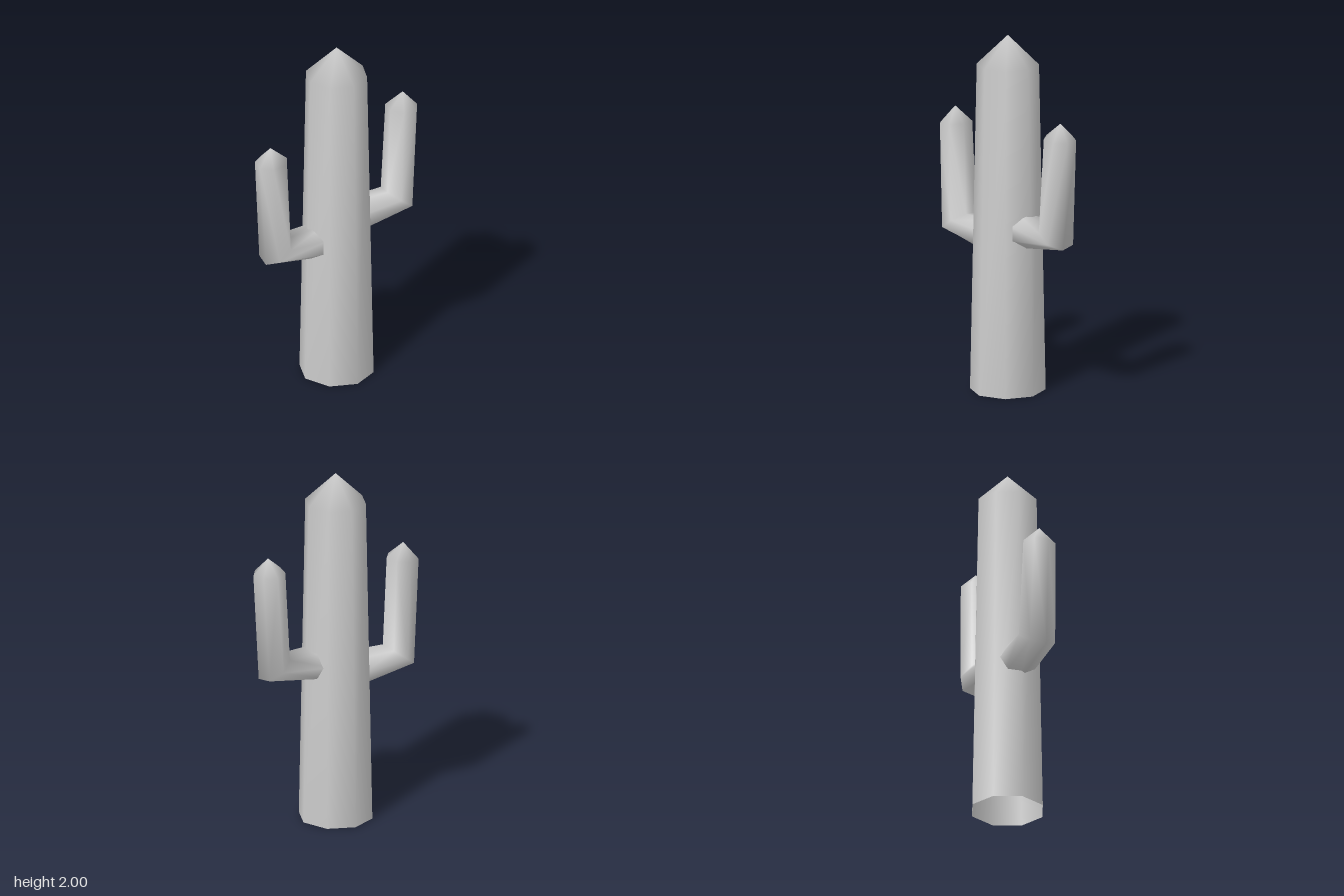
import * as THREE from 'three';

// Smooth skin over rings of n points, closed by a pointed tip.
// Each ring: c = centre [x, y], u = half-width vector [x, y], rz = half-depth.
// side = -1 mirrors the shape in x.
function loft(rings, tip, n, side = 1) {
  const pos = [], index = [];
  const tri = (a, b, c) => (side > 0 ? index.push(a, b, c) : index.push(a, c, b));
  for (const { c, u, rz } of rings) {
    for (let k = 0; k < n; k++) {
      const a = (k / n) * Math.PI * 2;
      const s = Math.sin(a);
      pos.push(side * (c[0] + u[0] * s), c[1] + u[1] * s, -rz * Math.cos(a));
    }
  }
  const last = (rings.length - 1) * n;
  const tipIndex = rings.length * n;
  pos.push(side * tip[0], tip[1], 0);
  for (let k = 0; k < n; k++) {
    const m = (k + 1) % n;
    for (let r = 0; r < last; r += n) {
      tri(r + k, r + n + k, r + m);
      tri(r + m, r + n + k, r + n + m);
    }
    tri(last + k, tipIndex, last + m);
  }
  const g = new THREE.BufferGeometry();
  g.setAttribute('position', new THREE.Float32BufferAttribute(pos, 3));
  g.setIndex(index);
  g.computeVertexNormals();
  return g;
}

export function createModel() {
  const group = new THREE.Group();
  group.name = 'cactus';
  const skin = new THREE.MeshStandardMaterial({ color: 0xcccccc, side: THREE.DoubleSide });
  skin.name = 'pale grey';

  const add = (name, geometry) => {
    const mesh = new THREE.Mesh(geometry, skin);
    mesh.name = name;
    group.add(mesh);
    return mesh;
  };

  // Tapered eight-sided trunk, open underneath
  add('trunk', loft([
    { c: [0, 0], u: [0.204, 0], rz: 0.207 },
    { c: [0, 1.835], u: [0.169, 0], rz: 0.17 },
  ], [0, 2], 8));

  // Seven-sided bent arm: root inside the trunk, elbow, upright end
  const arm = (side) => loft([
    { c: [0.1, 0.92], u: [0.0, -0.1], rz: 0.107 },
    { c: [0.395, 0.949], u: [0.082, -0.0615], rz: 0.105 },
    { c: [0.424, 1.505], u: [0.089, -0.007], rz: 0.091 },
  ], [0.43, 1.592], 7, side);

  add('leftArm', arm(1));
  add('rightArm', arm(-1)).position.y = -0.085;

  return group;
}
